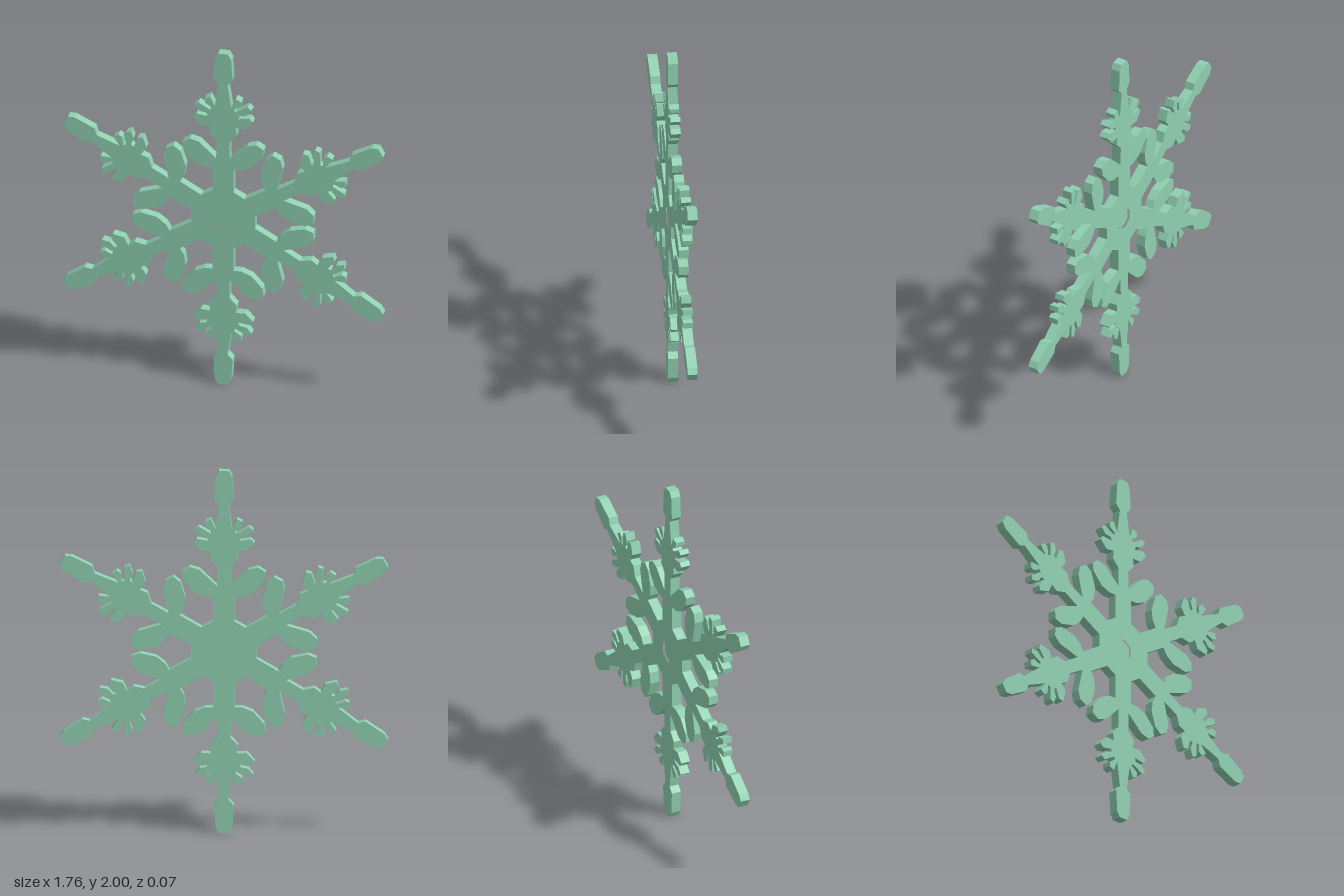
import * as THREE from 'three';

const THICKNESS = 0.054;

// Right half of one arm, from the hub outwards (x = offset from the arm axis, y = distance from centre)
const HALF_ARM = [
  // stem and leaf
  [0.057, 0.17], [0.057, 0.305], [0.1, 0.305], [0.157, 0.328], [0.217, 0.395], [0.224, 0.443],
  [0.183, 0.469], [0.132, 0.455], [0.037, 0.365],
  // narrow stem and flare
  [0.035, 0.47], [0.076, 0.515], [0.07, 0.56],
  // three barbs
  [0.122, 0.556], [0.165, 0.603], [0.146, 0.625], [0.085, 0.615],
  [0.09, 0.635], [0.13, 0.642], [0.158, 0.675], [0.135, 0.693], [0.07, 0.655],
  [0.06, 0.668], [0.098, 0.695], [0.1, 0.72], [0.07, 0.735], [0.045, 0.68],
  // taper and bulb tip
  [0.025, 0.815], [0.053, 0.845], [0.045, 0.968], [0.027, 1.0],
];

// Extrudes a flat shape, centred on z = 0
function plate(name, shape, depth, material) {
  const geometry = new THREE.ExtrudeGeometry(shape, { depth, bevelEnabled: false });
  geometry.translate(0, 0, -depth / 2);
  const mesh = new THREE.Mesh(geometry, material);
  mesh.name = name;
  return mesh;
}

function hexagon(radius) {
  const points = [];
  for (let i = 0; i < 6; i++) {
    const a = (i * Math.PI) / 3;
    points.push(new THREE.Vector2(radius * Math.sin(a), radius * Math.cos(a)));
  }
  return points;
}

export function createModel() {
  const group = new THREE.Group();
  group.name = 'snowflake';
  const material = new THREE.MeshStandardMaterial({ color: 0x8fd0b0, flatShading: true });

  // Mirror the half arm, then repeat it six times around the centre
  const arm = [
    ...HALF_ARM.map(([x, y]) => [-x, y]),
    ...HALF_ARM.slice().reverse(),
  ];
  const outline = [];
  for (let i = 0; i < 6; i++) {
    const c = Math.cos((i * Math.PI) / 3);
    const s = Math.sin((i * Math.PI) / 3);
    for (const [x, y] of arm) outline.push(new THREE.Vector2(x * c + y * s, y * c - x * s));
  }

  // Body with a hexagonal opening, closed by a thinner plate so both faces have a recess
  const body = new THREE.Shape(outline);
  body.holes.push(new THREE.Path(hexagon(0.061)));
  group.add(plate('snowflakeBody', body, THICKNESS, material));
  group.add(plate('centreRecess', new THREE.Shape(hexagon(0.061)), THICKNESS - 0.024, material));

  // Stand upright with a very slight turn
  group.position.set(0, 1, -0.002);
  group.rotation.y = -0.007;
  return group;
}
